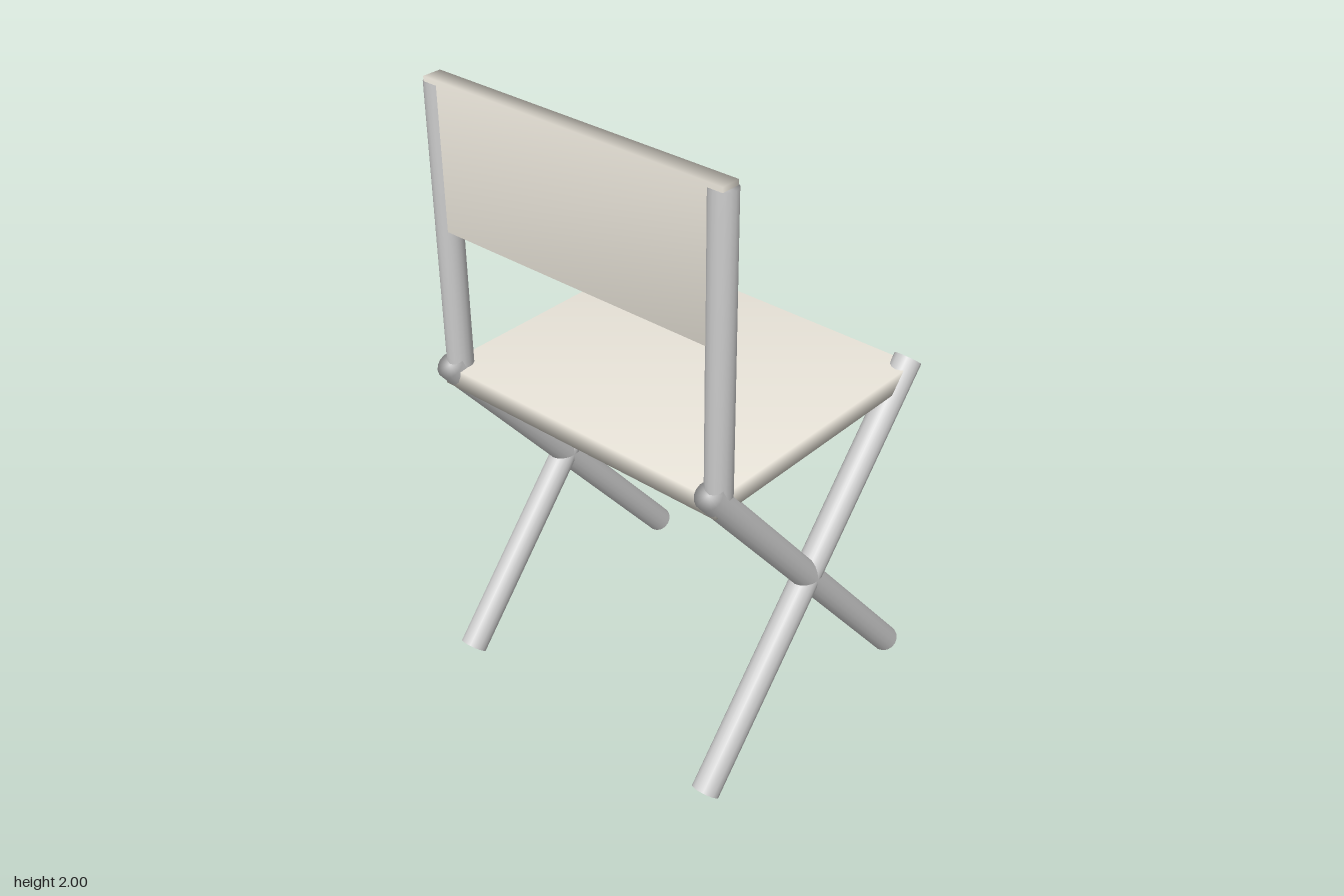
import * as THREE from 'three';
import { mergeVertices } from 'three/addons/utils/BufferGeometryUtils.js';

const frameMaterial = new THREE.MeshStandardMaterial({ color: 0xcccccc });
const clothMaterial = new THREE.MeshStandardMaterial({ color: 0xeae5da });

// Weld the corners so shading flows softly over every edge
function soften(geometry) {
  geometry.deleteAttribute('normal');
  geometry.deleteAttribute('uv');
  const welded = mergeVertices(geometry, 1e-4);
  welded.computeVertexNormals();
  return welded;
}

// Round tube between two points
function tube(name, from, to, radius) {
  const a = new THREE.Vector3(...from);
  const axis = new THREE.Vector3(...to).sub(a);
  const length = axis.length();
  const mesh = new THREE.Mesh(soften(new THREE.CylinderGeometry(radius, radius, length, 16)), frameMaterial);
  mesh.position.copy(a).addScaledVector(axis, 0.5);
  mesh.quaternion.setFromUnitVectors(new THREE.Vector3(0, 1, 0), axis.normalize());
  mesh.name = name;
  return mesh;
}

// Padded cloth panel
function panel(name, size, position) {
  const mesh = new THREE.Mesh(soften(new THREE.BoxGeometry(...size)), clothMaterial);
  mesh.position.set(...position);
  mesh.name = name;
  return mesh;
}

export function createModel() {
  const chair = new THREE.Group();
  chair.name = 'foldingChair';
  const legX = 0.497, legZ = 0.457, postZ = 0.415;

  // Crossed legs and upright post on each side
  for (const side of [1, -1]) {
    const x = side * legX;
    const frame = new THREE.Group();
    frame.name = side > 0 ? 'leftFrame' : 'rightFrame';
    frame.add(tube('legRisingToBackrest', [x, 0.03, -legZ], [x, 1.11, legZ], 0.043));
    frame.add(tube('legRisingToSeatEdge', [x, 0.03, legZ], [x, 1.11, -legZ], 0.043));
    frame.add(tube('backPost', [x, 1.09, postZ], [x, 1.985, postZ], 0.04));
    chair.add(frame);
  }

  // Cloth seat and backrest
  chair.add(panel('seat', [1.04, 0.062, 0.91], [0, 1.07, 0]));
  chair.add(panel('backrest', [1.04, 0.45, 0.06], [0, 1.775, postZ]));
  return chair;
}
